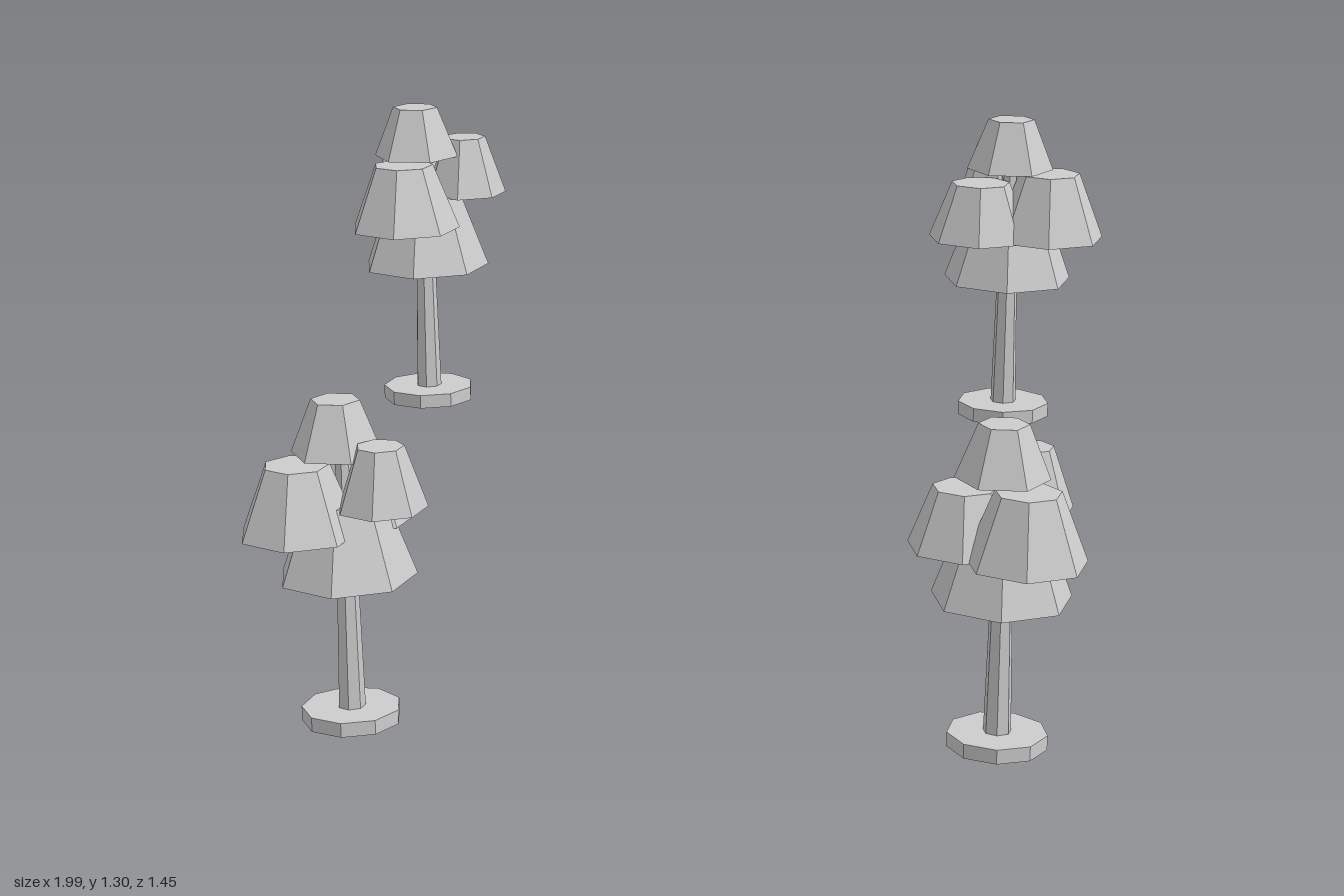
import * as THREE from 'three';

const foliage = new THREE.MeshStandardMaterial({ color: 0xcccccc, flatShading: true });
foliage.name = 'pale grey';

// Tapered prism standing on y, with a corner (or a flat, if turned) facing +z
function frustum(name, sides, rBottom, rTop, y, height, x = 0, z = 0, turn = 0) {
  const geo = new THREE.CylinderGeometry(rTop, rBottom, height, sides).toNonIndexed();
  geo.computeVertexNormals();
  const mesh = new THREE.Mesh(geo, foliage);
  mesh.name = name;
  mesh.position.set(x, y + height / 2, z);
  mesh.rotation.y = turn;
  return mesh;
}

// Clump offsets are relative to the trunk: large, high and small, then the crown
const trees = [
  { name: 'frontLeftTree', at: [0.754, 0, 0.487], large: [0.052, 0.096], high: [0.055, -0.098], small: [-0.09, -0.012], crown: [-0.006, 0.022] },
  { name: 'frontRightTree', at: [-0.768, 0, 0.487], large: [-0.096, 0.06], high: [0.1, 0.053], small: [0.018, -0.088], crown: [-0.018, -0.02] },
  { name: 'backLeftTree', at: [0.754, 0.51, -0.528], large: [0.1, 0.042], high: [-0.03, -0.094], small: [-0.074, 0.053], crown: [-0.001, 0.034] },
  { name: 'backRightTree', at: [-0.768, 0.51, -0.528], large: [-0.032, 0.101], high: [0.1, -0.05], small: [-0.053, -0.076], crown: [-0.014, 0.014] },
];

function makeTree({ name, at, large, high, small, crown }) {
  const tree = new THREE.Group();
  tree.name = name;
  tree.position.set(...at);
  tree.add(
    frustum('base', 9, 0.118, 0.118, 0.01, 0.035),
    frustum('trunk', 7, 0.034, 0.019, 0, 0.7),
    frustum('lowerFoliage', 7, 0.165, 0.095, 0.37, 0.19),
    frustum('largeClump', 7, 0.142, 0.077, 0.49, 0.166, ...large),
    frustum('smallClump', 7, 0.131, 0.075, 0.488, 0.143, ...small),
    frustum('highClump', 7, 0.107, 0.056, 0.557, 0.148, ...high),
    frustum('crown', 6, 0.109, 0.058, 0.664, 0.128, ...crown, Math.PI / 6),
  );
  return tree;
}

export function createModel() {
  const model = new THREE.Group();
  model.name = 'treeGroup';
  trees.forEach((t) => model.add(makeTree(t)));
  return model;
}
